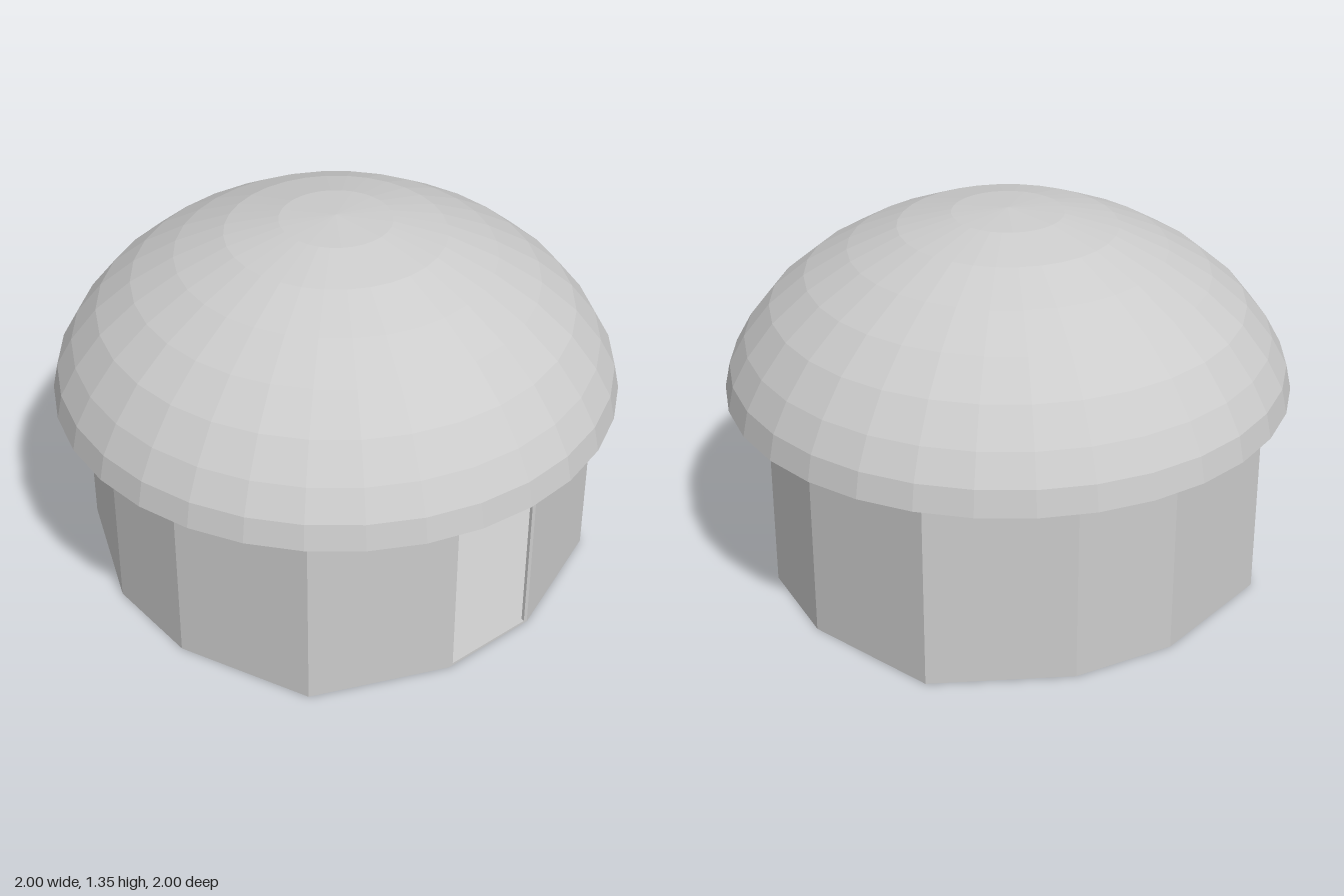
import * as THREE from 'three';

const T = 0.012;          // wall thickness
const FLOOR = 0.01, DOOR_TOP = 0.65, EAVE = 0.71, DOOR = 0.17;

export function createModel() {
  const group = new THREE.Group();
  group.name = 'domedHut';
  const material = new THREE.MeshStandardMaterial({ color: 0xcccccc, flatShading: true });

  const add = (name, geometry) => {
    const mesh = new THREE.Mesh(geometry, material);
    mesh.name = name;
    group.add(mesh);
  };

  // Twelve-sided plan, starting and ending beside the door (door on the -y side of the shape)
  const plan = (inset) => {
    const k = 1 - inset / 0.845;
    const points = [];
    for (let i = 0; i < 4; i++) {
      for (const [x, y] of [[0.185, -0.845], [0.65, -0.65], [0.845, -0.185]]) {
        points.push(new THREE.Vector2(x * k, y * k).rotateAround(new THREE.Vector2(), i * Math.PI / 2));
      }
    }
    // the last corner of each quarter is followed by the first corner of the next one
    return points;
  };

  // Extrude a plan shape upwards between two heights
  const rise = (shape, y0, y1) =>
    new THREE.ExtrudeGeometry(shape, { depth: y1 - y0, bevelEnabled: false })
      .rotateX(-Math.PI / 2).translate(0, y0, 0);

  const outer = plan(0), inner = plan(T);

  // Floor slab
  add('floor', rise(new THREE.Shape(outer), 0, FLOOR));

  // Wall with an open gap for the doorway
  const gapped = new THREE.Shape([
    new THREE.Vector2(DOOR, -0.845), ...outer, new THREE.Vector2(-DOOR, -0.845),
    new THREE.Vector2(-DOOR, -0.845 + T), ...inner.slice().reverse(), new THREE.Vector2(DOOR, -0.845 + T),
  ]);
  add('wall', rise(gapped, FLOOR, DOOR_TOP));

  // Continuous band over the doorway
  const ring = new THREE.Shape(outer);
  ring.holes.push(new THREE.Path(inner));
  add('lintelBand', rise(ring, DOOR_TOP, EAVE));

  // Faceted dome roof with a flat underside
  const heights = [0, 0.09, 0.193, 0.31, 0.415, 0.505, 0.58, 0.625, 0.64];
  const profile = [new THREE.Vector2(0, EAVE)];
  heights.forEach((h, i) => {
    const r = i === 8 ? 0 : Math.cos(i * Math.PI / 16);
    profile.push(new THREE.Vector2(r, EAVE + h));
  });
  add('domeRoof', new THREE.LatheGeometry(profile, 32));

  return group;
}
